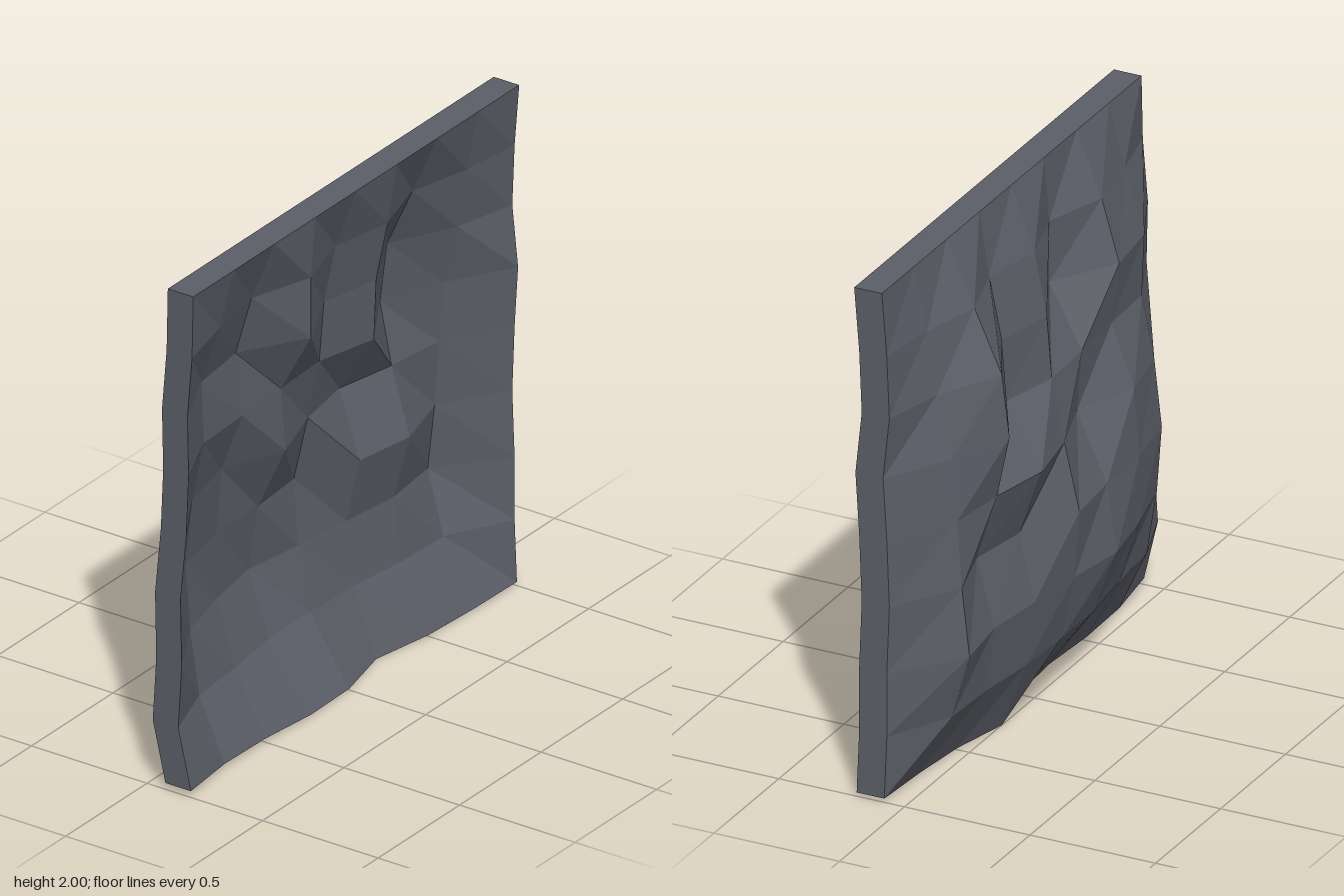
import * as THREE from 'three';

const THICKNESS = 0.11;
const N = 8; // cells per side

// Row heights, bottom to top
const ROW_Y = [0, 0.26, 0.51, 0.77, 1.03, 1.27, 1.51, 1.75, 1.995];

// Cross-sections: x of the outer (-x) skin, bottom to top, from z = 1 to z = -1
const SECTIONS = [
  [0.08, 0.025, 0.04, 0.035, 0.06, 0.07, 0.065, 0.085, 0.09],
  [0.05, -0.06, -0.10, -0.12, -0.09, -0.04, -0.05, 0.03, 0.09],
  [0.05, -0.08, -0.16, -0.16, -0.14, -0.05, -0.08, -0.01, 0.09],
  [0.07, -0.11, -0.20, -0.16, -0.04, -0.06, 0.07, 0.07, 0.09],
  [0.06, -0.11, -0.16, -0.18, -0.12, -0.07, -0.05, 0.00, 0.09],
  [0.00, -0.10, -0.13, -0.07, -0.16, -0.01, 0.00, 0.05, 0.09],
  [0.05, -0.07, -0.10, -0.03, -0.11, -0.16, -0.13, -0.02, 0.09],
  [0.07, -0.06, -0.13, -0.10, -0.08, -0.06, 0.00, 0.04, 0.09],
  [0.08, 0.07, 0.07, 0.06, 0.07, 0.085, 0.06, 0.07, 0.09],
];

function crumpledSlab() {
  const points = [];
  const index = [];
  const id = (c, r, side) => (c * (N + 1) + r) * 2 + side; // side 0: -x skin, 1: +x skin
  const quad = (a, b, e, d) => index.push(a, b, d, b, e, d);

  for (let c = 0; c <= N; c++) {
    for (let r = 0; r <= N; r++) {
      const x = SECTIONS[c][r];
      const z = 1 - (2 * c) / N;
      // The bottom edge rises slightly towards both corners
      const y = r === 0 ? 0.02 * Math.abs(z + 0.25) : ROW_Y[r];
      points.push(x, y, z, x + THICKNESS, y, z);
    }
  }

  // Both skins, split along the same diagonal
  for (let c = 0; c < N; c++) {
    for (let r = 0; r < N; r++) {
      quad(id(c, r, 1), id(c + 1, r, 1), id(c + 1, r + 1, 1), id(c, r + 1, 1));
      const [a, b, e, d] = [id(c, r, 0), id(c + 1, r, 0), id(c + 1, r + 1, 0), id(c, r + 1, 0)];
      index.push(a, d, b, b, d, e);
    }
  }

  // Rim strips along the four edges
  for (let i = 0; i < N; i++) {
    quad(id(0, i, 0), id(0, i, 1), id(0, i + 1, 1), id(0, i + 1, 0)); // front
    quad(id(N, i, 1), id(N, i, 0), id(N, i + 1, 0), id(N, i + 1, 1)); // back
    quad(id(i, N, 0), id(i, N, 1), id(i + 1, N, 1), id(i + 1, N, 0)); // top
    quad(id(i, 0, 1), id(i, 0, 0), id(i + 1, 0, 0), id(i + 1, 0, 1)); // bottom
  }

  const geometry = new THREE.BufferGeometry();
  geometry.setAttribute('position', new THREE.Float32BufferAttribute(points, 3));
  geometry.setIndex(index);
  const flat = geometry.toNonIndexed();
  flat.computeVertexNormals();
  return flat;
}

export function createModel() {
  const group = new THREE.Group();
  group.name = 'dentedPanel';
  const material = new THREE.MeshStandardMaterial({ color: 0x5b5e67, flatShading: true });
  const panel = new THREE.Mesh(crumpledSlab(), material);
  panel.name = 'panel';
  group.add(panel);
  return group;
}
